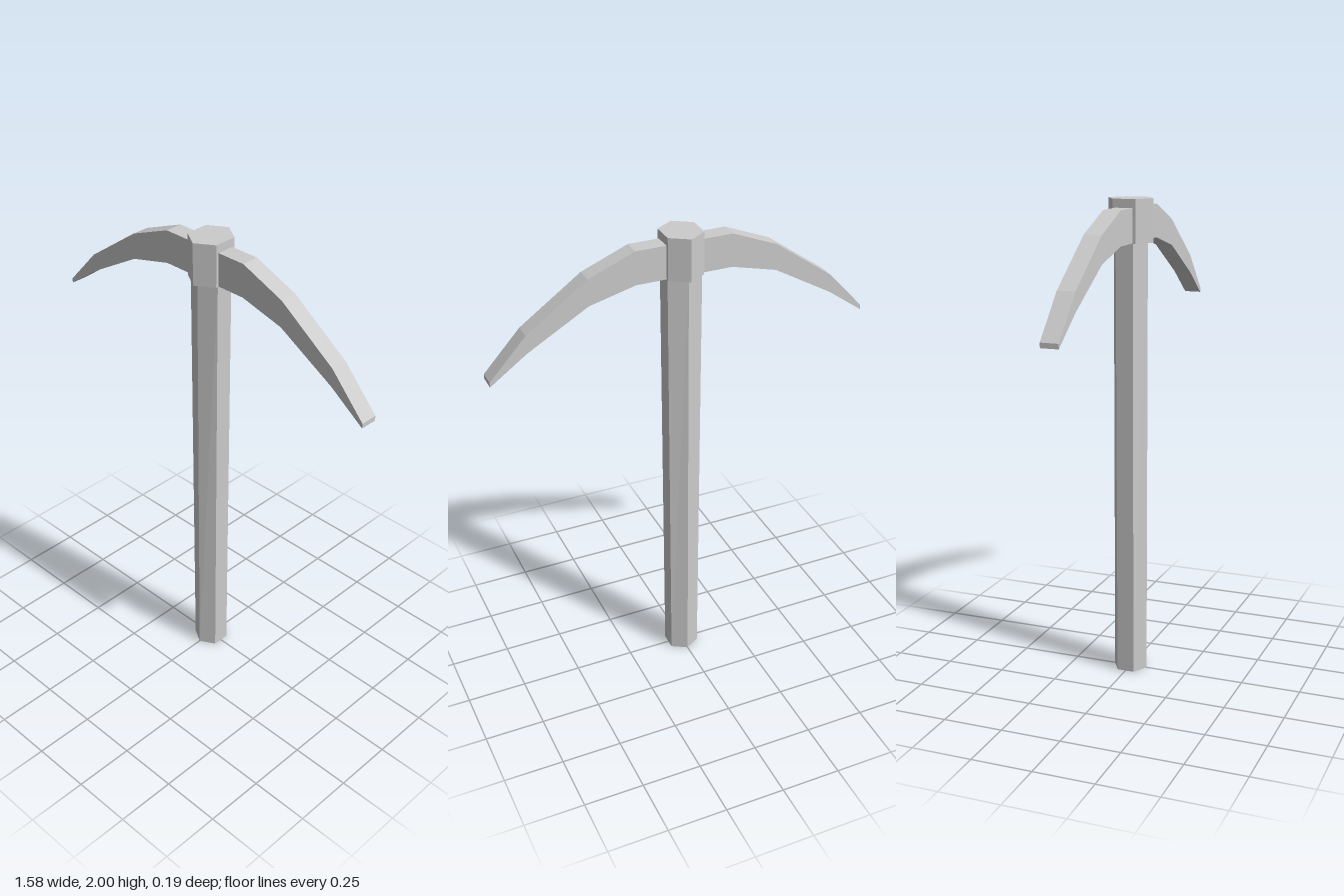
import * as THREE from 'three';

export function createModel() {
  const model = new THREE.Group();
  const material = new THREE.MeshStandardMaterial({ color: 0xcccccc, flatShading: true });

  const add = (name, geometry) => {
    const mesh = new THREE.Mesh(geometry, material);
    mesh.name = name;
    model.add(mesh);
  };

  // Upright hexagonal bar with a corner facing front; half width may taper, depth is constant
  const hexBar = (bottom, top, halfBottom, halfTop, halfDepth) => {
    const g = new THREE.CylinderGeometry(1, 1, top - bottom, 6);
    g.translate(0, (top + bottom) / 2, 0);
    const p = g.attributes.position;
    for (let i = 0; i < p.count; i++) {
      const t = (p.getY(i) - bottom) / (top - bottom);
      const half = THREE.MathUtils.lerp(halfBottom, halfTop, t);
      p.setX(i, p.getX(i) / Math.sin(Math.PI / 3) * half);
      p.setZ(i, p.getZ(i) * halfDepth);
    }
    g.computeVertexNormals();
    return g;
  };

  // Handle widens slightly towards the head; collar caps it
  add('handle', hexBar(0, 1.84, 0.063, 0.072, 0.073));
  add('collar', hexBar(1.826, 2, 0.075, 0.075, 0.096));

  // Curved double pick: right half of the outline, mirrored for the other side
  const upper = [[0.2, 1.965], [0.39, 1.888], [0.64, 1.71], [0.79, 1.547]];
  const lower = [[0.79, 1.527], [0.64, 1.635], [0.39, 1.779], [0.2, 1.828]];
  const half = [...upper, ...lower];
  const mirrored = half.map(([x, y]) => [-x, y]).reverse();
  const outline = [...half, ...mirrored].map(([x, y]) => new THREE.Vector2(x, y));
  const depth = 0.073;
  const blade = new THREE.ExtrudeGeometry(new THREE.Shape(outline), { depth, bevelEnabled: false });
  blade.translate(0, 0, -depth / 2);
  add('pickBlade', blade);

  return model;
}
